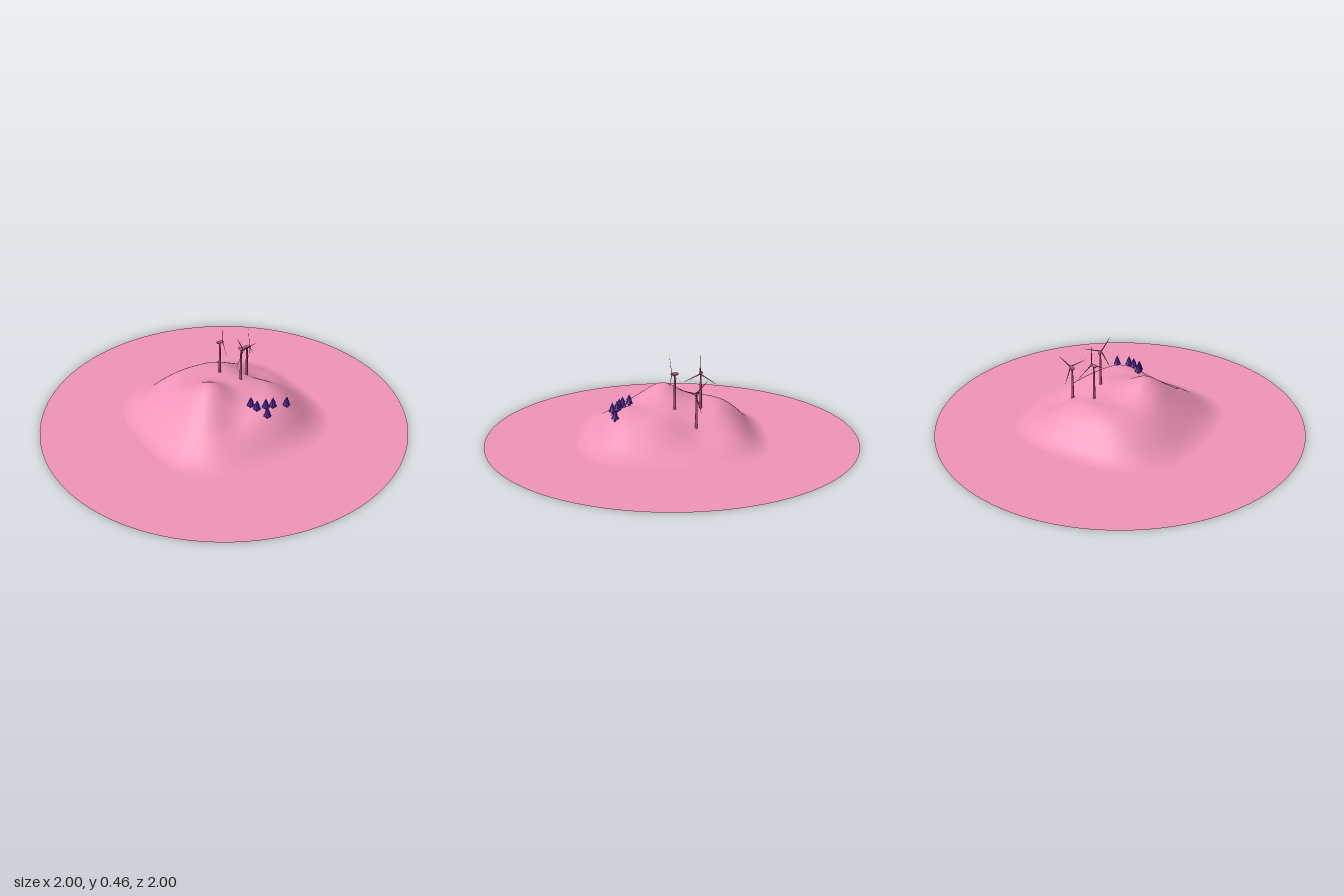
import * as THREE from 'three';
import { mergeVertices } from 'three/addons/utils/BufferGeometryUtils.js';

const mat = (color, extra = {}) => new THREE.MeshStandardMaterial({ color, ...extra });
const pink = mat(0xf093b8, { side: THREE.DoubleSide });
const rose = mat(0xc05a88);
const purple = mat(0x4a1fa0, { flatShading: true });

function add(parent, name, geometry, material, x = 0, y = 0, z = 0) {
  const mesh = new THREE.Mesh(geometry, material);
  mesh.name = name;
  mesh.position.set(x, y, z);
  parent.add(mesh);
  return mesh;
}

// Bumps and hollows on the hill: x, z, height, spread in x, spread in z
const BUMPS = [
  [-0.12, 0.05, 0.09, 0.08, 0.09],
  [0.1, 0.03, 0.02, 0.08, 0.1],
  [0.27, -0.13, -0.055, 0.08, 0.1],
  [0.16, 0.3, 0.035, 0.1, 0.07],
  [-0.11, 0.26, -0.03, 0.07, 0.06],
  [-0.05, -0.33, 0.028, 0.18, 0.08],
];

// Height of the ground: a rounded-square mound with bumps
function ground(x, z) {
  const s = Math.cbrt(Math.abs(x) ** 3 + Math.abs(z) ** 3) / 0.51;
  if (s >= 1) return 0;
  const t = Math.min(1, (1 - s) / 0.6);
  let h = 0.16 * (0.9 * t * t * (3 - 2 * t) + 0.1 * Math.sin(t * Math.PI / 2));
  const fade = Math.min(1, (1 - s) / 0.25);
  for (const [bx, bz, k, sx, sz] of BUMPS) {
    h += fade * k * Math.exp(-((x - bx) ** 2) / (2 * sx * sx) - ((z - bz) ** 2) / (2 * sz * sz));
  }
  return h;
}

// Polar grid stretched to the rounded-square outline, then raised
function hillGeometry() {
  let g = new THREE.RingGeometry(0.0005, 0.51, 128, 56);
  g.rotateX(-Math.PI / 2);
  g.deleteAttribute('uv');
  g.deleteAttribute('normal');
  g = mergeVertices(g, 1e-6);
  const p = g.attributes.position;
  for (let i = 0; i < p.count; i++) {
    const x = p.getX(i), z = p.getZ(i);
    const k = Math.hypot(x, z) / Math.cbrt(Math.abs(x) ** 3 + Math.abs(z) ** 3);
    p.setXYZ(i, x * k, ground(x * k, z * k), z * k);
  }
  g.computeVertexNormals();
  return g;
}

// Wind turbine: tower, nacelle and three thin blades
function turbine(x, z, hubY, yaw, spin) {
  const group = new THREE.Group();
  group.name = 'windTurbine';
  const base = ground(x, z) - 0.01;
  const height = hubY - base;
  add(group, 'tower', new THREE.CylinderGeometry(0.0045, 0.0075, height, 12), rose, x, base + height / 2, z);

  const head = new THREE.Group();
  head.name = 'turbineHead';
  head.position.set(x, hubY, z);
  head.rotation.y = yaw;
  const nacelle = new THREE.CapsuleGeometry(0.008, 0.02, 4, 10).rotateX(Math.PI / 2);
  add(head, 'nacelle', nacelle, rose, 0, 0, -0.002);

  const rotor = new THREE.Group();
  rotor.name = 'rotor';
  rotor.position.z = 0.016;
  add(rotor, 'hub', new THREE.SphereGeometry(0.006, 10, 8), rose);
  for (let i = 0; i < 3; i++) {
    const blade = add(rotor, 'blade', new THREE.CylinderGeometry(0.0008, 0.004, 0.1, 6)
      .scale(1, 1, 0.4).translate(0, 0.05, 0), rose);
    blade.rotation.z = spin - Math.PI / 2 + i * Math.PI * 2 / 3;
  }
  head.add(rotor);
  group.add(head);
  return group;
}

// Conifer: short trunk under two faceted cones
function tree(x, z) {
  const group = new THREE.Group();
  group.name = 'tree';
  group.position.set(x, ground(x, z), z);
  add(group, 'trunk', new THREE.CylinderGeometry(0.006, 0.006, 0.022, 6), purple, 0, 0.004, 0);
  add(group, 'lowerFoliage', new THREE.ConeGeometry(0.021, 0.035, 7), purple, 0, 0.03, 0);
  add(group, 'upperFoliage', new THREE.ConeGeometry(0.015, 0.032, 7), purple, 0, 0.047, 0);
  return group;
}

export function createModel() {
  const model = new THREE.Group();
  model.name = 'windFarmHill';
  const disc = add(model, 'groundDisc', new THREE.CircleGeometry(1, 96), pink);
  disc.rotation.x = -Math.PI / 2;
  add(model, 'hill', hillGeometry(), pink);

  model.add(turbine(0.068, -0.15, 0.355, 1.29, Math.PI / 2));
  model.add(turbine(0.117, -0.012, 0.365, 0.245, 0));
  model.add(turbine(0.228, -0.12, 0.29, 1.137, 0.87));

  for (const [x, z] of [[0.02, 0.23], [0.035, 0.265], [0.08, 0.28], [0.065, 0.318], [0.118, 0.29], [0.202, 0.297]]) {
    model.add(tree(x, z));
  }
  return model;
}
